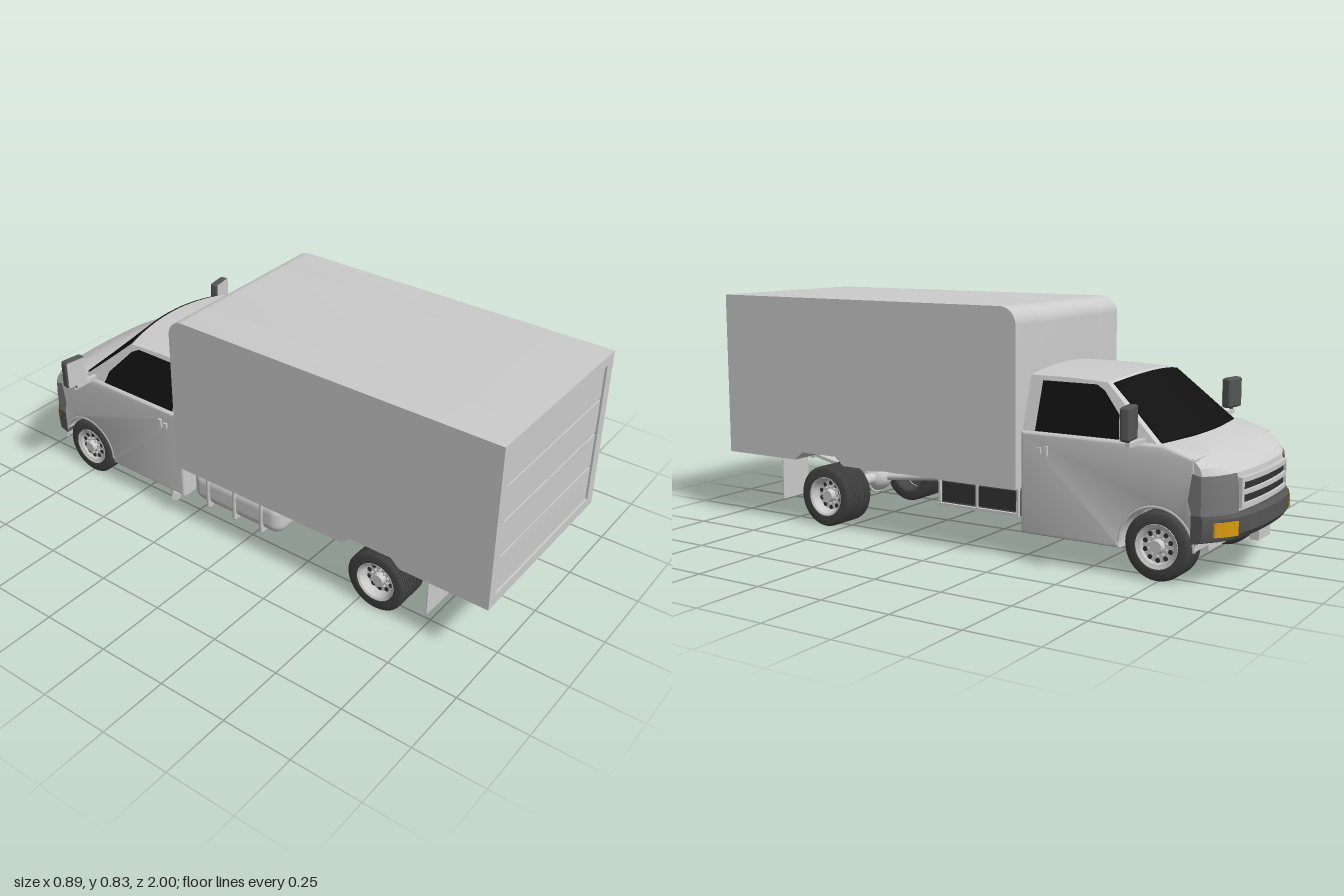
import * as THREE from 'three';
import { toCreasedNormals } from 'three/addons/utils/BufferGeometryUtils.js';
import { RoundedBoxGeometry } from 'three/addons/geometries/RoundedBoxGeometry.js';

const paint = (color) => new THREE.MeshStandardMaterial({ color, side: THREE.DoubleSide });
const GREY = paint(0xcccccc), BLACK = paint(0x111111), DARK = paint(0x555555), RUBBER = paint(0x444444),
  LAMP = paint(0x777777), AMBER = paint(0xd99a10), SHADOW = paint(0x333333);
const clamp = THREE.MathUtils.clamp;

export function createModel() {
  const model = new THREE.Group();
  const sides = (build) => [1, -1].forEach(build);

  function add(name, geometry, material = GREY, x = 0, y = 0, z = 0, parent = model) {
    const mesh = new THREE.Mesh(geometry, material);
    mesh.name = name;
    mesh.position.set(x, y, z);
    parent.add(mesh);
    return mesh;
  }
  // box given by its limits
  const block = (name, [x0, x1], [y0, y1], [z0, z1], material) =>
    add(name, new THREE.BoxGeometry(Math.abs(x1 - x0), y1 - y0, Math.abs(z1 - z0)), material,
      (x0 + x1) / 2, (y0 + y1) / 2, (z0 + z1) / 2);

  // [z, y] outline swept across x, with an optional rule that moves each vertex
  function sweep(name, points, xa, xb, material, { steps = 1, bevel = 0, rule } = {}) {
    const x0 = Math.min(xa, xb), x1 = Math.max(xa, xb);
    const shape = new THREE.Shape(points.map((p) => new THREE.Vector2(...p)));
    const g = new THREE.ExtrudeGeometry(shape, {
      depth: x1 - x0 - 2 * bevel, steps, bevelEnabled: bevel > 0,
      bevelSize: bevel, bevelThickness: bevel, bevelOffset: -bevel, bevelSegments: 3,
    });
    g.rotateY(-Math.PI / 2).translate(x1 - bevel, 0, 0);
    if (rule) {
      const p = g.attributes.position, v = new THREE.Vector3();
      for (let i = 0; i < p.count; i++) {
        rule(v.fromBufferAttribute(p, i));
        p.setXYZ(i, v.x, v.y, v.z);
      }
    }
    return add(name, toCreasedNormals(g, 0.55), material);
  }
  function rod(name, a, b, r, material = GREY, sidesCount = 16) {
    const A = new THREE.Vector3(...a), B = new THREE.Vector3(...b), d = B.clone().sub(A);
    const m = add(name, new THREE.CylinderGeometry(r, r, d.length(), sidesCount), material);
    m.position.copy(A).add(B).multiplyScalar(0.5);
    m.quaternion.setFromUnitVectors(new THREE.Vector3(0, 1, 0), d.normalize());
    return m;
  }
  const arc = (cz, cy, r, a0, a1, n) => Array.from({ length: n + 1 }, (_, i) => {
    const a = a0 + (a1 - a0) * i / n;
    return [cz + r * Math.cos(a), cy + r * Math.sin(a)];
  });

  // Cargo box: rounded top edge over the cab, shallow notches over the rear wheels
  const cargo = (floor) => [[0.985, 0.24], ...floor, [-0.262, 0.24],
    ...arc(-0.202, 0.768, 0.06, Math.PI, Math.PI / 2, 8), [0.985, 0.828]];
  sweep('cargoBox', cargo([]), -0.2, 0.2);
  sides((s) => sweep('cargoSide', cargo([[0.68, 0.24], [0.645, 0.27], [0.49, 0.27], [0.455, 0.24]]), s * 0.2, s * 0.348));

  // Rear frame and roll-up door
  const rect = (P, x0, y0, x1, y1) => {
    const p = new P();
    p.moveTo(x0, y0); p.lineTo(x1, y0); p.lineTo(x1, y1); p.lineTo(x0, y1); p.closePath();
    return p;
  };
  const frame = rect(THREE.Shape, -0.348, 0.24, 0.348, 0.828);
  frame.holes.push(rect(THREE.Path, -0.307, 0.277, 0.307, 0.793));
  add('rearFrame', new THREE.ExtrudeGeometry(frame, { depth: 0.015, bevelEnabled: false }), GREY, 0, 0, 0.985);
  block('doorGaps', [-0.306, 0.306], [0.278, 0.792], [0.984, 0.987], DARK);
  const cuts = [0.274, 0.409, 0.538, 0.667, 0.796];
  for (let i = 0; i < 4; i++) {
    block('doorPanel', [-0.306, 0.306], [cuts[i] + 0.004, cuts[i + 1] - 0.004], [0.984, 0.993]);
  }

  // Lower cab: body sides with wheel arches around a central block
  const arch = arc(-0.745, 0.11, 0.125, -0.16, Math.PI, 20);
  const top = [[-0.87, 0.395], [-0.765, 0.428], [-0.262, 0.428]];
  sides((s) => {
    sweep('cabSide', [[-0.262, 0.09], ...arch, ...top], s * 0.17, s * 0.317, GREY, { bevel: 0.01 });
    const lip = new THREE.TorusGeometry(0.126, 0.006, 8, 32, Math.PI);
    add('archLip', lip.rotateY(Math.PI / 2), GREY, s * 0.312, 0.11, -0.745);
  });
  sweep('cabCentre', [[-0.262, 0.09], [-0.87, 0.09], ...top], -0.2, 0.2);

  // Nose pieces curve back toward the corners
  const bow = (v) => {
    const u = Math.abs(v.x) / 0.315, t = clamp((-0.86 - v.z) / 0.13, 0, 1.1);
    v.z += t * (0.035 * u ** 2 + 0.055 * u ** 6);
  };
  const bowed = (name, points, a, b, material) => sweep(name, points, a, b, material, { steps: 16, rule: bow });
  bowed('nose', [[-0.86, 0.15], [-0.97, 0.17], [-0.975, 0.3], [-0.968, 0.345], [-0.945, 0.368], [-0.86, 0.399]], -0.315, 0.315);
  bowed('bumper', [[-0.862, 0.135], [-0.985, 0.145], [-1, 0.165], [-1, 0.215], [-0.985, 0.225], [-0.862, 0.225]], -0.319, 0.319, DARK);
  bowed('grillePanel', [[-0.96, 0.24], [-0.978, 0.24], [-0.978, 0.325], [-0.96, 0.325]], -0.185, 0.185, SHADOW);
  [[0.236, 0.25], [0.276, 0.29], [0.315, 0.33]].forEach(([a, b]) =>
    bowed('grilleBar', [[-0.96, a], [-0.987, a], [-0.987, b], [-0.96, b]], -0.19, 0.19));
  sides((s) => {
    bowed('grilleEnd', [[-0.96, 0.236], [-0.987, 0.236], [-0.987, 0.33], [-0.96, 0.33]], s * 0.18, s * 0.192);
    bowed('headlamp', [[-0.85, 0.27], [-0.87, 0.225], [-0.982, 0.225], [-0.98, 0.31], [-0.972, 0.345], [-0.87, 0.352]], s * 0.2, s * 0.319, LAMP);
    bowed('turnSignal', [[-0.97, 0.16], [-1.004, 0.16], [-1.004, 0.205], [-0.97, 0.205]], s * 0.225, s * 0.295, AMBER);
  });
  block('frontPlate', [-0.05, 0.05], [0.105, 0.145], [-0.975, -0.945]);

  // Upper cab: narrows upward, with a crowned roof and a curved windscreen
  const halfWidth = (y) => 0.31 - (y - 0.41) * 0.32;
  const cabin = (v) => {
    const u = v.x, k = 1 - u * u;
    v.x = u * halfWidth(v.y);
    v.z -= 0.03 * k * clamp((-0.4 - v.z) / 0.14, 0, 1);
    v.y += 0.022 * k * (v.y - 0.41) / 0.187;
  };
  const upper = { steps: 16, rule: cabin };
  sweep('cabin', [[-0.262, 0.41], [-0.76, 0.41], [-0.54, 0.597], [-0.4, 0.603], [-0.262, 0.603]], -1, 1, GREY, upper);
  sweep('windscreen', [[-0.549, 0.588], [-0.742, 0.424], [-0.746, 0.429], [-0.553, 0.593]], -0.93, 0.93, BLACK, upper);
  sides((s) => {
    const pane = [[-0.31, 0.43], [-0.31, 0.588], [-0.505, 0.588], [-0.535, 0.572], [-0.625, 0.475], [-0.64, 0.43]];
    sweep('sideWindow', pane, s * 0.3, s * 0.313, BLACK, { rule: (v) => { v.x -= s * (v.y - 0.41) * 0.32; } });
    // Door handles and mirrors
    block('doorHandle', [s * 0.31, s * 0.325], [0.355, 0.387], [-0.365, -0.35]);
    block('doorHandle', [s * 0.31, s * 0.325], [0.36, 0.38], [-0.34, -0.325]);
    block('mirrorArm', [s * 0.29, s * 0.41], [0.428, 0.442], [-0.7, -0.685]);
    rod('mirrorPost', [s * 0.402, 0.435, -0.69], [s * 0.402, 0.46, -0.69], 0.006, DARK);
    const housing = add('mirrorHousing', new RoundedBoxGeometry(0.084, 0.106, 0.034, 3, 0.01), DARK, s * 0.401, 0.502, -0.692);
    housing.rotation.y = s * 0.15;
    const glass = add('mirrorGlass', new THREE.BoxGeometry(0.074, 0.098, 0.003), GREY, 0, 0, 0.0165, housing);
    glass.position.y = 0;
  });

  // Wheels
  const v2 = (list) => list.map(([r, a]) => new THREE.Vector2(r, a));
  function tyre(x, z, width, parent) {
    const w = width / 2, tread = [];
    for (let i = 0; i < 6; i++) {
      const a = -0.8 * w + i * 0.288 * w;
      tread.push([0.11, a], [0.11, a + 0.16 * w], [0.105, a + 0.18 * w], [0.105, a + 0.27 * w]);
    }
    tread.splice(-2);
    const g = new THREE.LatheGeometry(v2([[0.066, -0.8 * w], [0.074, -w], [0.096, -w], [0.106, -0.9 * w], ...tread,
      [0.106, 0.9 * w], [0.096, w], [0.074, w], [0.066, 0.8 * w], [0.066, -0.8 * w]]), 40).rotateZ(-Math.PI / 2);
    add('tyre', toCreasedNormals(g, 0.6), RUBBER, x, 0.11, z, parent);
  }
  function wheel(name, s, z, tyres, width, dish) {
    const group = new THREE.Group();
    group.name = name;
    model.add(group);
    tyres.forEach((x) => tyre(s * x, z, width, group));
    const hub = new THREE.Group();
    hub.name = 'rim';
    hub.position.set(s * (tyres.at(-1) + width / 2), 0.11, z);
    hub.rotation.z = -s * Math.PI / 2;
    group.add(hub);
    // along the local axis, 0 is the outer face of the tyre
    const profile = [[0, -dish], [0.052, -dish], [0.058, -dish + 0.008], [0.064, -0.004], [0.071, 0], [0.072, -0.01], [0.066, -width]];
    add('rimDish', toCreasedNormals(new THREE.LatheGeometry(v2(profile), 40), 0.5), GREY, 0, 0, 0, hub);
    add('hubCap', new THREE.CylinderGeometry(0.02, 0.024, 0.02, 20), GREY, 0, -dish + 0.01, 0, hub);
    add('rimBack', new THREE.CylinderGeometry(0.066, 0.066, 0.006, 32), DARK, 0, -width + 0.008, 0, hub);
    for (let i = 0; i < 10; i++) {
      const a = i * Math.PI / 5, c = Math.cos(a), d = Math.sin(a);
      add('rimHole', new THREE.CylinderGeometry(0.008, 0.008, 0.003, 12), SHADOW, 0.045 * c, -dish, 0.045 * d, hub);
      add('wheelNut', new THREE.CylinderGeometry(0.004, 0.004, 0.01, 6), GREY, 0.031 * c, -dish + 0.004, 0.031 * d, hub);
    }
  }
  sides((s) => {
    wheel('frontWheel', s, -0.745, [0.262], 0.095, 0.014);
    wheel('rearWheel', s, 0.57, [0.217, 0.284], 0.062, 0.032);
    block('mudFlap', [s * 0.18, s * 0.316], [0.078, 0.24], [0.768, 0.771]);
    // Leaf springs with hangers, clamps and dampers
    const curve = new THREE.QuadraticBezierCurve(new THREE.Vector2(0.765, 0.22), new THREE.Vector2(0.55, 0.155), new THREE.Vector2(0.33, 0.21));
    const line = curve.getPoints(12).map((p) => [p.x, p.y]);
    sweep('leafSpring', [...line, ...line.map(([z, y]) => [z, y + 0.012]).reverse()], s * 0.125, s * 0.16);
    block('springHanger', [s * 0.12, s * 0.165], [0.195, 0.245], [0.33, 0.37]);
    block('springShackle', [s * 0.12, s * 0.165], [0.21, 0.245], [0.75, 0.77]);
    block('bumpStop', [s * 0.125, s * 0.158], [0.165, 0.24], [0.55, 0.6], DARK);
    block('springClamp', [s * 0.122, s * 0.162], [0.11, 0.155], [0.55, 0.6]);
    rod('damper', [s * 0.165, 0.12, 0.61], [s * 0.115, 0.235, 0.68], 0.009);
  });

  // Rear axle and driveline
  rod('axleTube', [-0.2, 0.13, 0.57], [0.2, 0.13, 0.57], 0.022);
  const diff = add('differential', new THREE.SphereGeometry(0.054, 24, 16), GREY, 0, 0.13, 0.58);
  diff.scale.z = 1.1;
  const ring = rod('differentialFlange', [0, 0.13, 0.575], [0, 0.13, 0.59], 0.062, GREY, 10);
  ring.name = 'differentialFlange';
  rod('driveshaft', [0, 0.13, 0.54], [0, 0.2, -0.1], 0.012);
  block('shaftBracket', [-0.04, 0.04], [0.18, 0.24], [-0.12, -0.09]);
  block('crossMember', [-0.165, 0.165], [0.228, 0.243], [0.74, 0.765]);
  block('rearPlate', [-0.05, 0.05], [0.192, 0.23], [0.843, 0.847], GREY);
  block('rearPlateFrame', [-0.053, 0.053], [0.189, 0.24], [0.838, 0.843], SHADOW);

  // Fuel tank with straps
  add('fuelTank', new RoundedBoxGeometry(0.14, 0.13, 0.4, 6, 0.045), GREY, -0.253, 0.17, -0.02);
  [-0.14, -0.02, 0.1].forEach((z) =>
    add('tankStrap', new RoundedBoxGeometry(0.15, 0.14, 0.016, 4, 0.007), GREY, -0.253, 0.17, z));

  // Side storage locker
  block('locker', [0.17, 0.3], [0.14, 0.24], [-0.25, 0.07], DARK);
  block('lockerDoor', [0.3, 0.303], [0.156, 0.222], [-0.235, 0.055], SHADOW);
  [[0.14, 0.15], [0.228, 0.24]].forEach((y) => block('lockerRail', [0.295, 0.312], y, [-0.25, 0.07]));
  [-0.25, -0.09, 0.062].forEach((z) => block('lockerPost', [0.295, 0.31], [0.14, 0.24], [z, z + 0.008]));

  // Exhaust
  rod('exhaustPipe', [-0.32, 0.076, -0.3], [-0.11, 0.076, -0.5], 0.017);
  rod('exhaustRiser', [-0.11, 0.076, -0.5], [-0.08, 0.1, -0.52], 0.017);

  return model;
}
